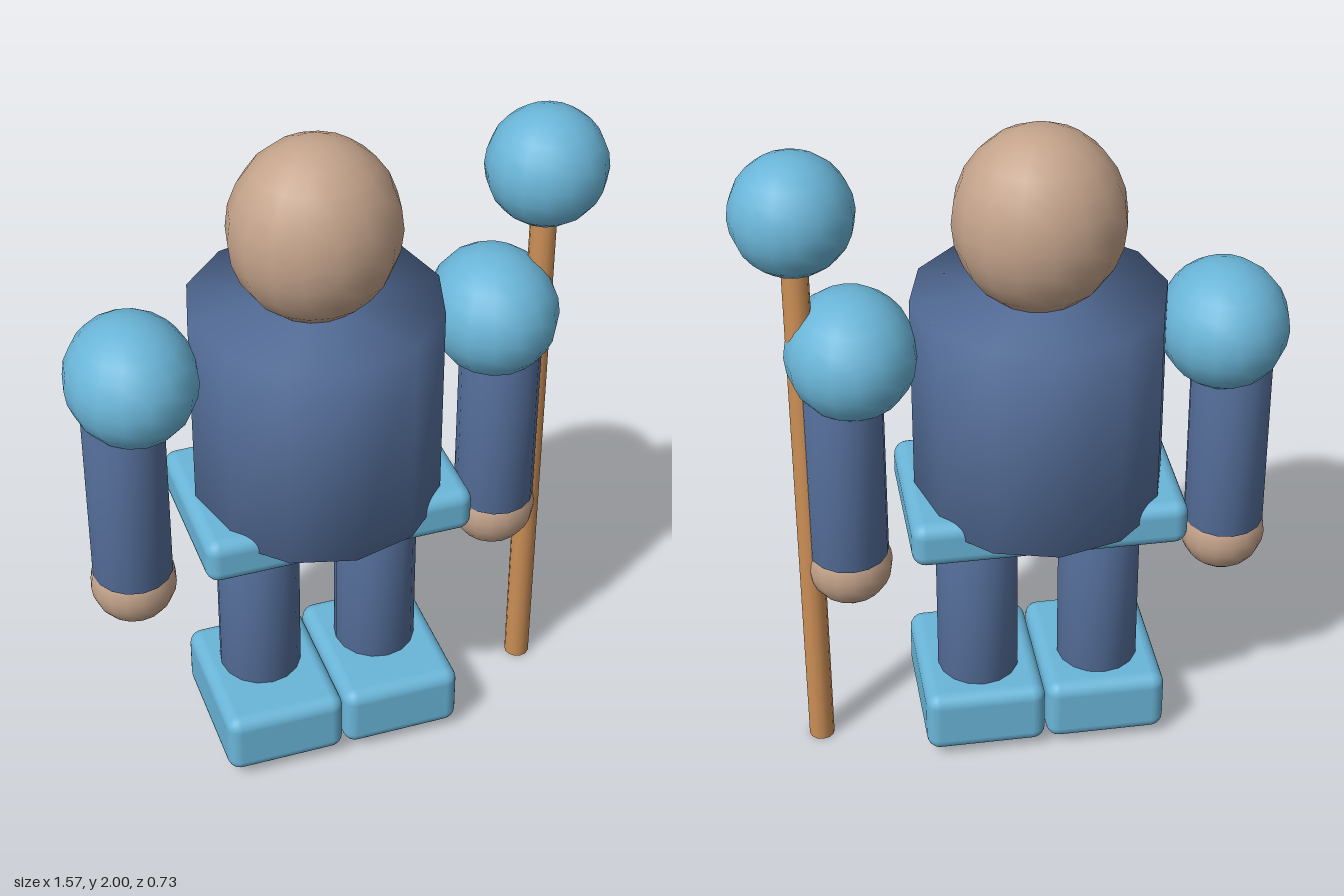
import * as THREE from 'three';
import { mergeVertices } from 'three/addons/utils/BufferGeometryUtils.js';
import { RoundedBoxGeometry } from 'three/addons/geometries/RoundedBoxGeometry.js';

const material = (name, color) => {
  const m = new THREE.MeshStandardMaterial({ color });
  m.name = name;
  return m;
};

// Cylinder whose normals are smoothed over the rims as well
function softCylinder(radius, height, sides) {
  const g = new THREE.CylinderGeometry(radius, radius, height, sides);
  g.deleteAttribute('uv');
  g.deleteAttribute('normal');
  const merged = mergeVertices(g, 1e-4);
  merged.computeVertexNormals();
  return merged;
}

export function createModel() {
  const lightBlue = material('light blue', 0x6ab5d8);
  const navy = material('slate blue', 0x556f9b);
  const skin = material('skin', 0xc4a38b);
  const wood = material('wood', 0xcc8f56);

  const model = new THREE.Group();
  model.name = 'staffBearer';
  const body = new THREE.Group();
  body.name = 'body';
  body.position.x = -0.065; // the staff shifts the body off centre
  model.add(body);

  const add = (parent, name, geometry, mat, x, y, z = 0) => {
    const mesh = new THREE.Mesh(geometry, mat);
    mesh.name = name;
    mesh.position.set(x, y, z);
    parent.add(mesh);
    return mesh;
  };
  const ellipsoid = (rx, ry, rz) => new THREE.SphereGeometry(1, 16, 12).scale(rx, ry, rz);
  const column = (r, bottom, top, sides) => softCylinder(r, top - bottom, sides);

  // Head, torso and belt
  add(body, 'head', ellipsoid(0.245, 0.27, 0.226), skin, 0, 1.73);
  add(body, 'torso', column(0.365, 0.85, 1.5, 12), navy, 0, 1.175);
  add(body, 'belt', new RoundedBoxGeometry(0.8, 0.14, 0.495, 3, 0.04), lightBlue, 0, 0.83);

  // Paired limbs
  for (const [side, s] of [['left', 1], ['right', -1]]) {
    add(body, side + 'Shoulder', ellipsoid(0.188, 0.187, 0.21), lightBlue, s * 0.531, 1.353);
    add(body, side + 'Arm', column(0.118, 0.685, 1.3, 16).scale(1, 1, 1.05), navy, s * 0.563, 0.9925);
    add(body, side + 'Hand', ellipsoid(0.127, 0.127, 0.122), skin, s * 0.562, 0.638);
    add(body, side + 'Leg', column(0.123, 0.2, 0.78, 16).scale(1, 1, 1.05), navy, s * 0.184, 0.49);
    add(body, side + 'Foot', new RoundedBoxGeometry(0.362, 0.2, 0.465, 3, 0.04), lightBlue, s * 0.183, 0.127, 0.043);
  }

  // Staff with its orb
  const staff = new THREE.Group();
  staff.name = 'staff';
  staff.position.x = 0.608;
  model.add(staff);
  add(staff, 'staffShaft', column(0.038, 0, 1.7, 12), wood, 0, 0.85);
  add(staff, 'staffOrb', ellipsoid(0.173, 0.173, 0.173), lightBlue, 0, 1.799);

  return model;
}
